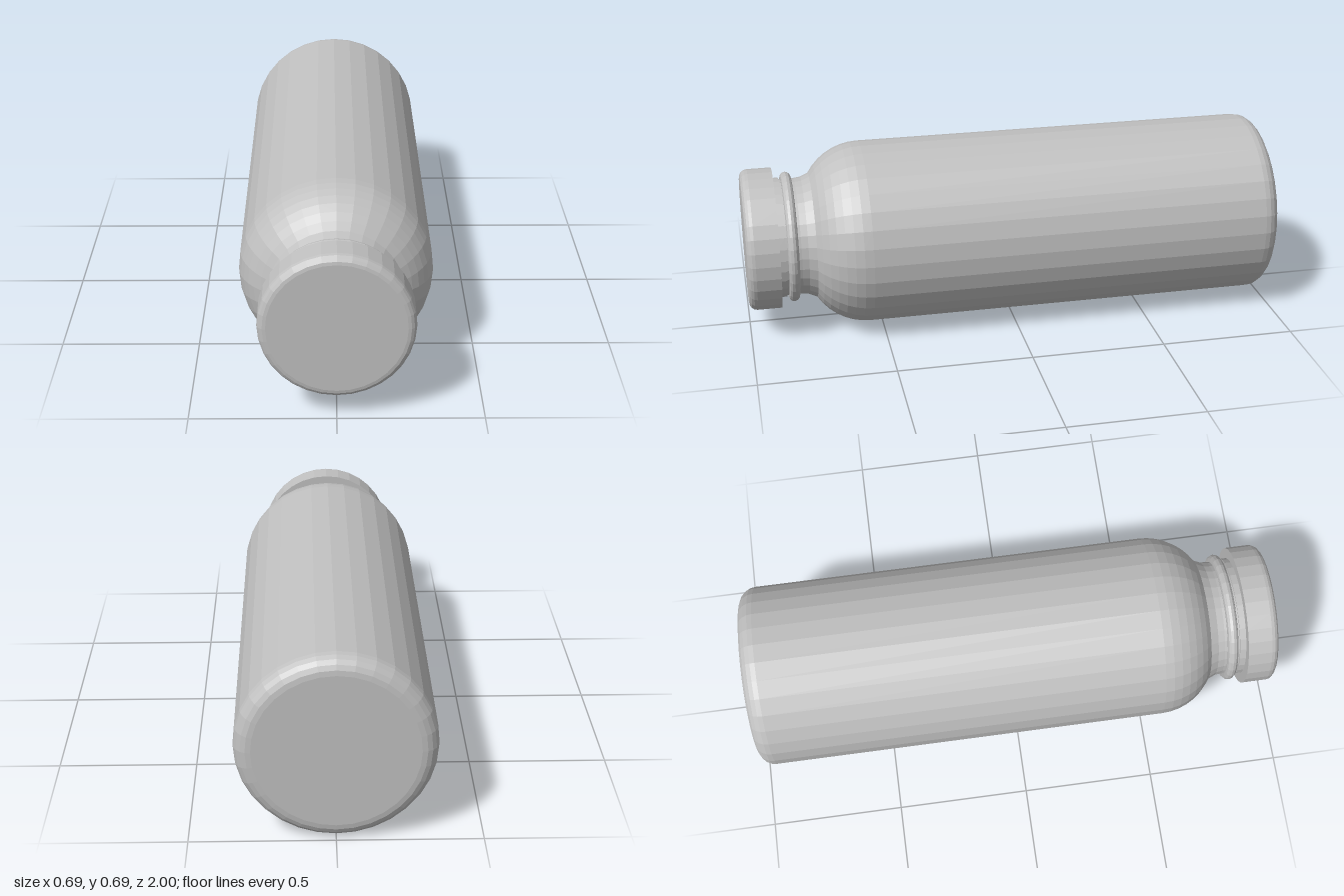
import * as THREE from 'three';

const SIDES = 32;
const AXIS_Y = 0.343;

// Points of an arc in (radius, z), angles in degrees
function arc(r, z, size, from, to, steps) {
  return Array.from({ length: steps + 1 }, (_, i) => {
    const a = THREE.MathUtils.degToRad(from + ((to - from) * i) / steps);
    return [r + size * Math.cos(a), z + size * Math.sin(a)];
  });
}

// Turned part lying along z, profile listed from back to front
function turned(name, profile, material) {
  const points = profile.map(([r, z]) => new THREE.Vector2(r, z));
  const geometry = new THREE.LatheGeometry(points, SIDES);
  geometry.rotateX(Math.PI / 2);
  geometry.translate(0, AXIS_Y, 0);
  const mesh = new THREE.Mesh(geometry, material);
  mesh.name = name;
  return mesh;
}

export function createModel() {
  const grey = new THREE.MeshStandardMaterial({ color: 0xc0c0c0, flatShading: true });
  grey.name = 'plain grey';

  const group = new THREE.Group();
  group.name = 'bottle';

  // Body: rounded base, straight wall, domed shoulder, flare into the neck
  group.add(turned('body', [
    [0, -1],
    ...arc(0.283, -0.94, 0.06, -90, 0, 5),
    ...arc(0.113, 0.55, 0.23, 0, 58, 7),
    [0.222, 0.775],
    [0.219, 0.8],
    [0.219, 0.9],
  ], grey));

  // Rounded bead around the neck
  group.add(turned('neckRing', [
    [0.215, 0.81],
    ...arc(0.225, 0.83, 0.02, -90, 90, 6),
    [0.215, 0.85],
  ], grey));

  // Slightly wider collar under the cap
  group.add(turned('neckCollar', [
    [0.215, 0.857], [0.225, 0.857], [0.225, 0.89],
  ], grey));

  // Cap with a flat rear face and a rounded front edge
  group.add(turned('cap', [
    [0, 0.88],
    [0.265, 0.88],
    ...arc(0.235, 0.97, 0.03, 0, 90, 4),
    [0, 1],
  ], grey));

  return group;
}
